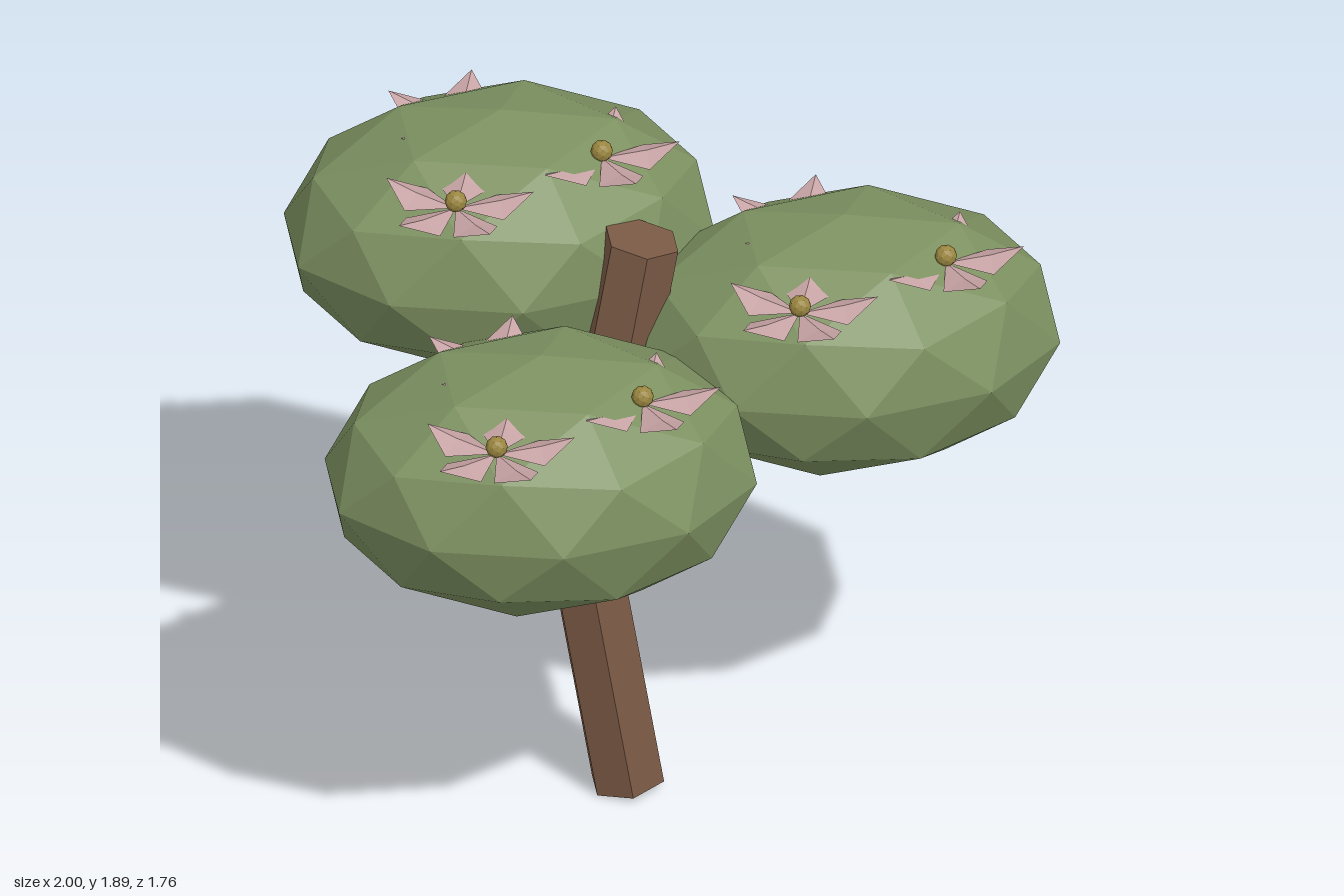
import * as THREE from 'three';

const mat = (name, color, side = THREE.FrontSide) => {
  const m = new THREE.MeshStandardMaterial({ color, flatShading: true, side });
  m.name = name;
  return m;
};

export function createModel() {
  const tree = new THREE.Group();
  tree.name = 'floweringTree';
  const bark = mat('bark brown', 0x7b5a45);
  const leaf = mat('leaf green', 0x7c9060);
  const pink = mat('petal pink', 0xc7a3a4, THREE.DoubleSide);
  const gold = mat('pollen gold', 0x9a8640);

  const add = (parent, name, geometry, material) => {
    const mesh = new THREE.Mesh(geometry, material);
    mesh.name = name;
    parent.add(mesh);
    return mesh;
  };

  // Six-sided log between two points
  const log = (name, from, to, r0, r1) => {
    const a = new THREE.Vector3(...from), b = new THREE.Vector3(...to);
    const dir = b.clone().sub(a);
    const mesh = add(tree, name, new THREE.CylinderGeometry(r1, r0, dir.length(), 6), bark);
    mesh.position.copy(a).add(b).multiplyScalar(0.5);
    mesh.quaternion.setFromUnitVectors(new THREE.Vector3(0, 1, 0), dir.normalize());
  };

  // Bent trunk and three forking branches
  log('lowerTrunk', [-0.145, 0.018, -0.045], [-0.265, 0.757, -0.045], 0.105, 0.105);
  log('upperTrunk', [-0.267, 0.758, -0.045], [-0.107, 1.7, -0.045], 0.105, 0.105);
  log('rightBranch', [-0.23, 0.87, -0.045], [0.17, 1.21, -0.05], 0.045, 0.045);
  log('frontBranch', [-0.23, 0.87, -0.045], [-0.36, 1.14, 0.2], 0.045, 0.045);
  log('backBranch', [-0.23, 0.87, -0.045], [-0.38, 1.28, -0.36], 0.045, 0.045);

  // Faceted crown with a corner at the very top and bottom
  const crownGeo = new THREE.IcosahedronGeometry(1, 1);
  crownGeo.rotateX(-Math.atan((1 + Math.sqrt(5)) / 2));
  crownGeo.rotateY(Math.PI / 2);
  crownGeo.scale(0.591, 0.362, 0.455);

  // Kite petal, folded along its ridge, with a raised tip
  const petalGeo = new THREE.BufferGeometry();
  petalGeo.setAttribute('position', new THREE.Float32BufferAttribute([
    0, 0, 0, 0.12, -0.008, -0.065, 0.12, 0.014, 0,
    0.12, -0.008, 0.065, 0.21, 0.034, 0,
  ], 3));
  petalGeo.setIndex([0, 2, 1, 1, 2, 4, 0, 3, 2, 2, 3, 4]);
  petalGeo.computeVertexNormals();
  const budGeo = new THREE.IcosahedronGeometry(0.03, 1);

  const flower = (parent, x, z) => {
    const g = new THREE.Group();
    g.name = 'flower';
    g.position.set(x, 0.274, z);
    for (let i = 0; i < 5; i++) {
      add(g, 'petal', petalGeo, pink).rotation.y = (-i * Math.PI * 2) / 5;
    }
    add(g, 'flowerCentre', budGeo, gold).position.y = 0.022;
    parent.add(g);
  };

  // Three crowns, each carrying the same three flowers
  const crowns = [
    ['backCrown', -0.437, 1.536, -0.43],
    ['rightCrown', 0.437, 1.365, -0.053],
    ['frontCrown', -0.431, 1.231, 0.333],
  ];
  for (const [name, x, y, z] of crowns) {
    const g = new THREE.Group();
    g.name = name;
    g.position.set(x, y, z);
    add(g, 'foliage', crownGeo, leaf);
    flower(g, -0.165, 0.34);
    flower(g, 0.255, 0.138);
    flower(g, -0.1, -0.1);
    tree.add(g);
  }
  return tree;
}
